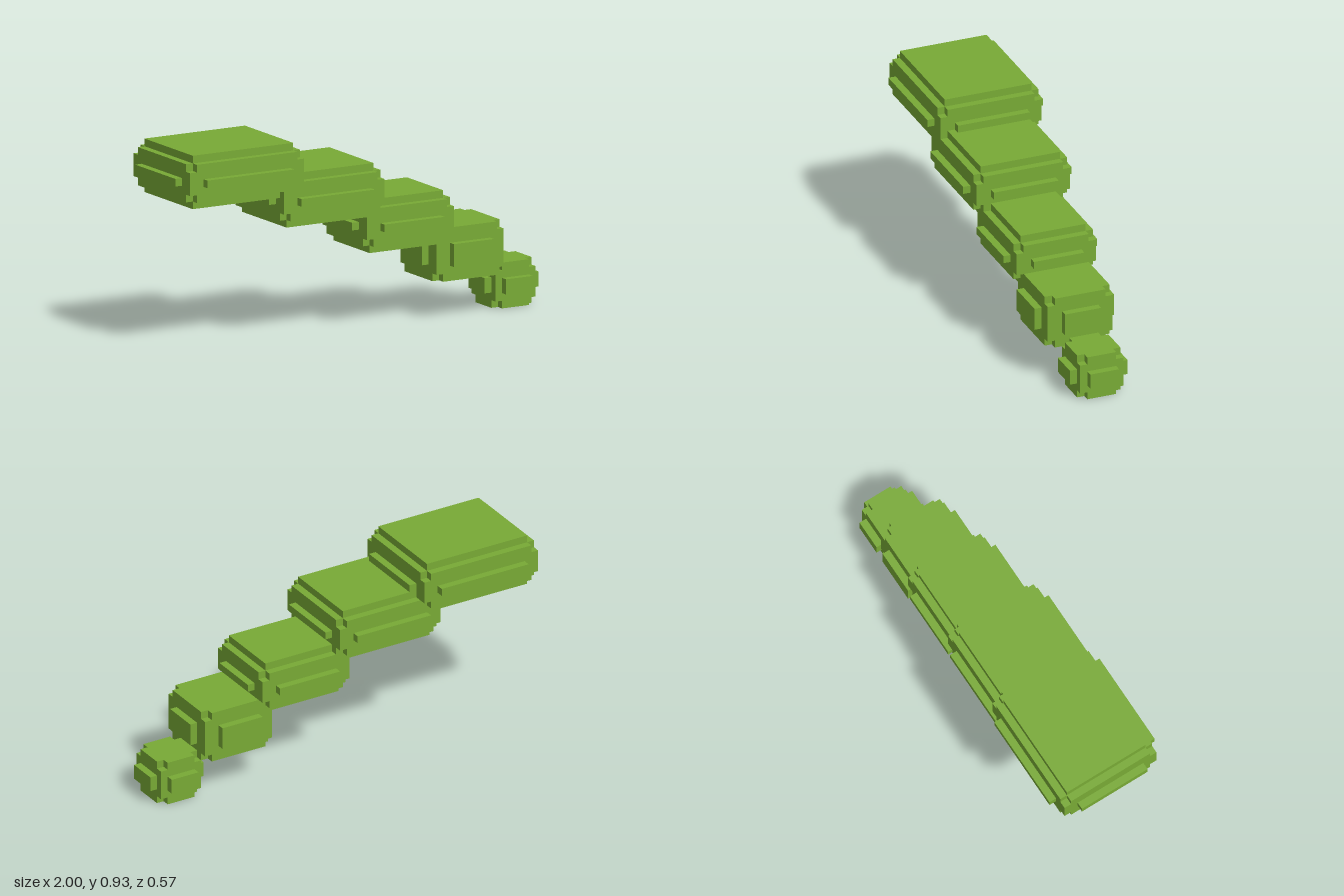
import * as THREE from 'three';

const U = 1 / 28; // size of one block unit

// All ranges are [min, max] in block units.
const SEGMENTS = [
  { name: 'baseSegment', x: [-27, -10], y: [20, 25], z: [-7, 7], ridgeY: [22, 23], panels: true },
  { name: 'secondSegment', x: [-13, 2], y: [16, 21], z: [-6, 7], ridgeY: [18, 19], panels: true },
  { name: 'middleSegment', x: [0, 13], y: [11, 16], z: [-5, 6], ridgeY: [13, 14], panels: true },
  { name: 'fourthSegment', x: [11, 21], y: [5, 12], z: [-4, 5], ridgeY: [7, 10], panels: false },
  { name: 'tipSegment', x: [21, 27], y: [0, 6], z: [-3, 3], ridgeY: [2, 4], panels: false },
];

const inset = ([a, b], d) => [a + d, b - d];

function addBox(parent, name, material, x, y, z) {
  const geometry = new THREE.BoxGeometry((x[1] - x[0]) * U, (y[1] - y[0]) * U, (z[1] - z[0]) * U);
  const mesh = new THREE.Mesh(geometry, material);
  mesh.name = name;
  mesh.position.set((x[0] + x[1]) / 2 * U, (y[0] + y[1]) / 2 * U, (z[0] + z[1]) / 2 * U);
  parent.add(mesh);
}

// Full-height core with its four vertical edges cut out by one unit
function addCore(parent, material, x, y, z) {
  const [x0, x1] = x, [z0, z1] = z;
  const outline = [
    [x0 + 1, z0], [x1 - 1, z0], [x1 - 1, z0 + 1], [x1, z0 + 1], [x1, z1 - 1], [x1 - 1, z1 - 1],
    [x1 - 1, z1], [x0 + 1, z1], [x0 + 1, z1 - 1], [x0, z1 - 1], [x0, z0 + 1], [x0 + 1, z0 + 1],
  ].map(([px, pz]) => new THREE.Vector2(px * U, -pz * U));
  const geometry = new THREE.ExtrudeGeometry(new THREE.Shape(outline), {
    depth: (y[1] - y[0]) * U, bevelEnabled: false,
  });
  geometry.rotateX(-Math.PI / 2);
  const mesh = new THREE.Mesh(geometry, material);
  mesh.name = 'core';
  mesh.position.y = y[0] * U;
  parent.add(mesh);
}

export function createModel() {
  const model = new THREE.Group();
  model.name = 'steppedTail';
  const green = new THREE.MeshStandardMaterial({ color: 0x78aa35 });
  green.name = 'leafGreen';

  for (const { name, x, y, z, ridgeY, panels } of SEGMENTS) {
    const segment = new THREE.Group();
    segment.name = name;
    model.add(segment);

    // Body: core plus shorter corner posts, leaving the eight corners notched
    addCore(segment, green, x, y, z);
    for (const px of [x[0], x[1] - 1]) {
      for (const pz of [z[0], z[1] - 1]) {
        addBox(segment, 'cornerPost', green, [px, px + 1], inset(y, 1), [pz, pz + 1]);
      }
    }

    // Raised ridges on both ends and both sides
    for (const px of [x[0] - 1, x[1]]) {
      addBox(segment, 'endRidge', green, [px, px + 1], ridgeY, inset(z, z[1] - z[0] > 6 ? 2 : 1));
    }
    for (const pz of [z[0] - 1, z[1]]) {
      addBox(segment, 'sideRidge', green, inset(x, x[1] - x[0] > 6 ? 2 : 1), ridgeY, [pz, pz + 1]);
    }

    // Wide plates above and below the larger segments
    if (panels) {
      addBox(segment, 'topPlate', green, inset(x, 1), [y[1], y[1] + 1], inset(z, 1));
      addBox(segment, 'bottomPlate', green, inset(x, 1), [y[0] - 1, y[0]], inset(z, 1));
    }
  }
  return model;
}
